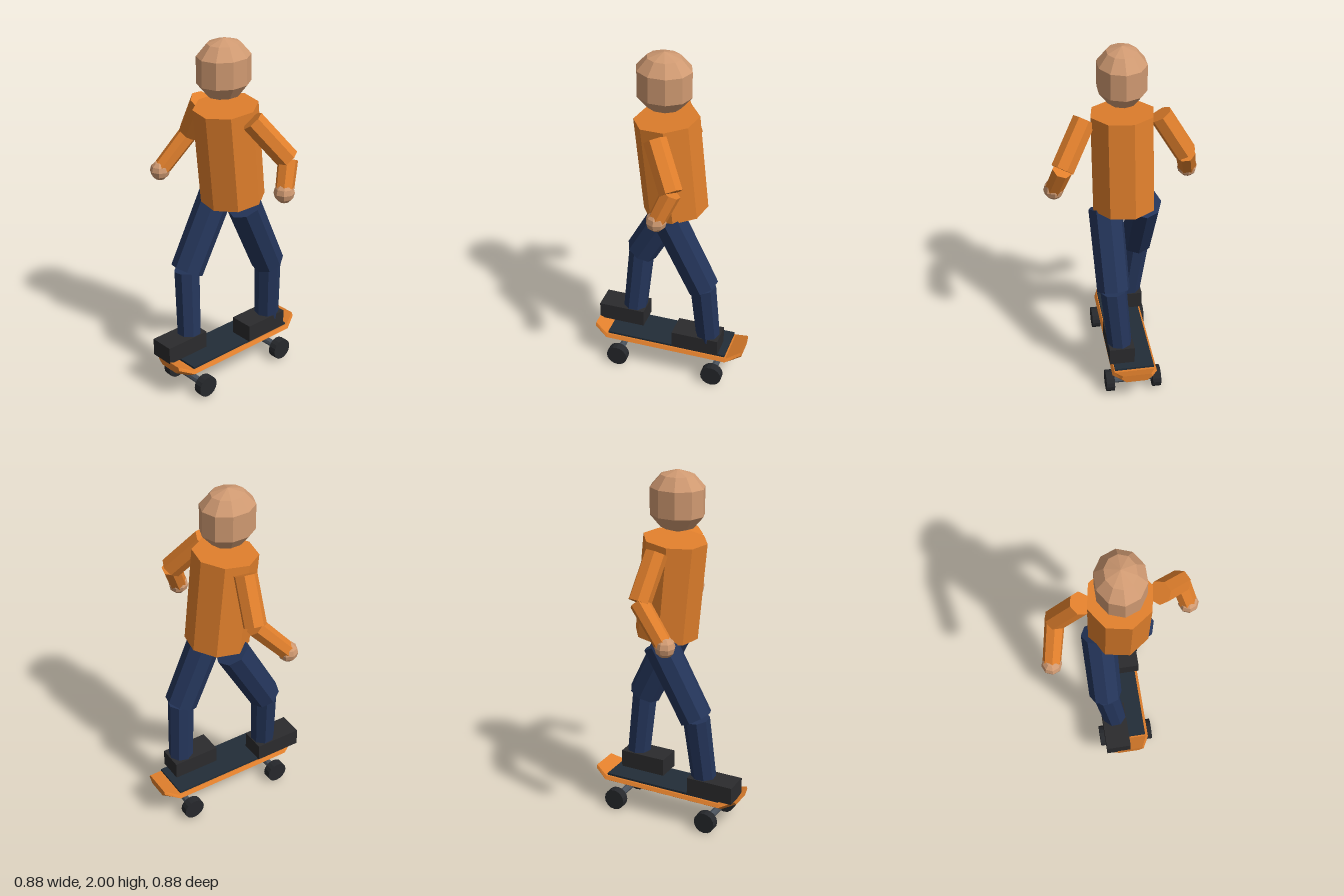
import * as THREE from 'three';

const mat = (color) => new THREE.MeshStandardMaterial({ color, flatShading: true });

export function createModel() {
  const root = new THREE.Group();
  root.name = 'skateboarder';
  const orange = mat(0xe07f2c), skin = mat(0xd09a72), navy = mat(0x24355a);
  const shoeDark = mat(0x2b2b2d), gripDark = mat(0x222d38), tyre = mat(0x26282c), steel = mat(0x4a525c);

  const add = (name, geo, material, x = 0, y = 0, z = 0) => {
    const m = new THREE.Mesh(geo, material);
    m.name = name;
    m.position.set(x, y, z);
    root.add(m);
    return m;
  };

  // Faceted cylinder running from point a to point b
  const limb = (name, a, b, ra, rb, sides, material, twist = 0) => {
    const A = new THREE.Vector3(...a), B = new THREE.Vector3(...b);
    const dir = B.clone().sub(A);
    const geo = new THREE.CylinderGeometry(rb, ra, dir.length(), sides);
    geo.rotateY(twist);
    const mid = A.add(B).multiplyScalar(0.5);
    const m = add(name, geo, material, mid.x, mid.y, mid.z);
    m.quaternion.setFromUnitVectors(new THREE.Vector3(0, 1, 0), dir.normalize());
    return m;
  };

  // Head: ten-sided, narrower across than deep
  const profile = [[0, -0.168], [0.093, -0.138], [0.151, -0.07], [0.151, 0.075], [0.093, 0.14], [0, 0.168]]
    .map(([r, y]) => new THREE.Vector2(r, y));
  const head = new THREE.LatheGeometry(profile, 10);
  head.scale(0.875, 1, 1);
  add('head', head, skin, 0, 1.832, 0.036);

  // Torso leaning slightly forward
  limb('torso', [0, 1.083, -0.029], [0, 1.626, 0.024], 0.176, 0.176, 8, orange, 0.21);

  // Arms
  const arms = [
    ['left', [0.2, 1.6, 0.02], [0.335, 1.39, -0.11], [0.378, 1.235, -0.045]],
    ['right', [-0.2, 1.6, 0.016], [-0.335, 1.37, -0.01], [-0.386, 1.172, 0.165]],
  ];
  for (const [side, shoulder, elbow, wrist] of arms) {
    limb(side + 'UpperArm', shoulder, elbow, 0.063, 0.063, 7, orange);
    limb(side + 'Forearm', elbow, wrist, 0.054, 0.05, 7, orange);
    add(side + 'Hand', new THREE.SphereGeometry(0.056, 8, 6), skin, ...wrist);
  }

  // Legs in a wide stride, with block shoes
  const legs = [
    ['left', [0.1, 1.07, -0.02], [0.088, 0.655, -0.215], [0.058, 0.28, -0.242], [0.055, 0.255, -0.18]],
    ['right', [-0.115, 1.07, -0.01], [-0.112, 0.67, 0.212], [-0.066, 0.28, 0.241], [-0.07, 0.255, 0.305]],
  ];
  for (const [side, hip, knee, ankle, shoe] of legs) {
    limb(side + 'Thigh', hip, knee, 0.095, 0.092, 8, navy);
    limb(side + 'Shin', knee, ankle, 0.074, 0.069, 8, navy);
    add(side + 'Shoe', new THREE.BoxGeometry(0.14, 0.1, 0.27), shoeDark, ...shoe);
  }

  // Deck: bevelled six-sided section, narrowing and rising at both tips
  const cx = -0.008;
  const section = [[-0.67, 0], [0.67, 0], [1, 0.027], [0.9, 0.045], [-0.9, 0.045], [-1, 0.027]];
  const stations = [[-0.44, 0.088, 0.037], [-0.36, 0.127, 0], [0.36, 0.127, 0], [0.44, 0.088, 0.037]];
  const rings = stations.map(([z, w, lift]) => section.map(([u, v]) => [u * w, 0.135 + v + lift, z]));
  const pos = [];
  const tri = (a, b, c) => pos.push(...a, ...b, ...c);
  for (let i = 0; i < 3; i++) {
    for (let j = 0; j < 6; j++) {
      const k = (j + 1) % 6, p = rings[i], q = rings[i + 1];
      tri(p[j], p[k], q[k]);
      tri(p[j], q[k], q[j]);
    }
  }
  for (let j = 1; j < 5; j++) {
    tri(rings[0][0], rings[0][j + 1], rings[0][j]);
    tri(rings[3][0], rings[3][j], rings[3][j + 1]);
  }
  const deck = new THREE.BufferGeometry();
  deck.setAttribute('position', new THREE.Float32BufferAttribute(pos, 3));
  deck.computeVertexNormals();
  add('deck', deck, orange, cx, 0, 0);
  add('gripSheet', new THREE.BoxGeometry(0.221, 0.012, 0.705), gripDark, cx, 0.191, 0);

  // Axles and wheels
  for (const [end, z] of [['front', 0.288], ['rear', -0.286]]) {
    const axle = new THREE.CylinderGeometry(0.02, 0.02, 0.25, 8).rotateZ(Math.PI / 2);
    add(end + 'Axle', axle, steel, cx, 0.063, z);
    for (const [side, s] of [['Left', 1], ['Right', -1]]) {
      const wheel = new THREE.CylinderGeometry(0.061, 0.061, 0.047, 16).rotateZ(Math.PI / 2);
      add(end + side + 'Wheel', wheel, tyre, cx + s * 0.133, 0.061, z);
    }
  }
  return root;
}
